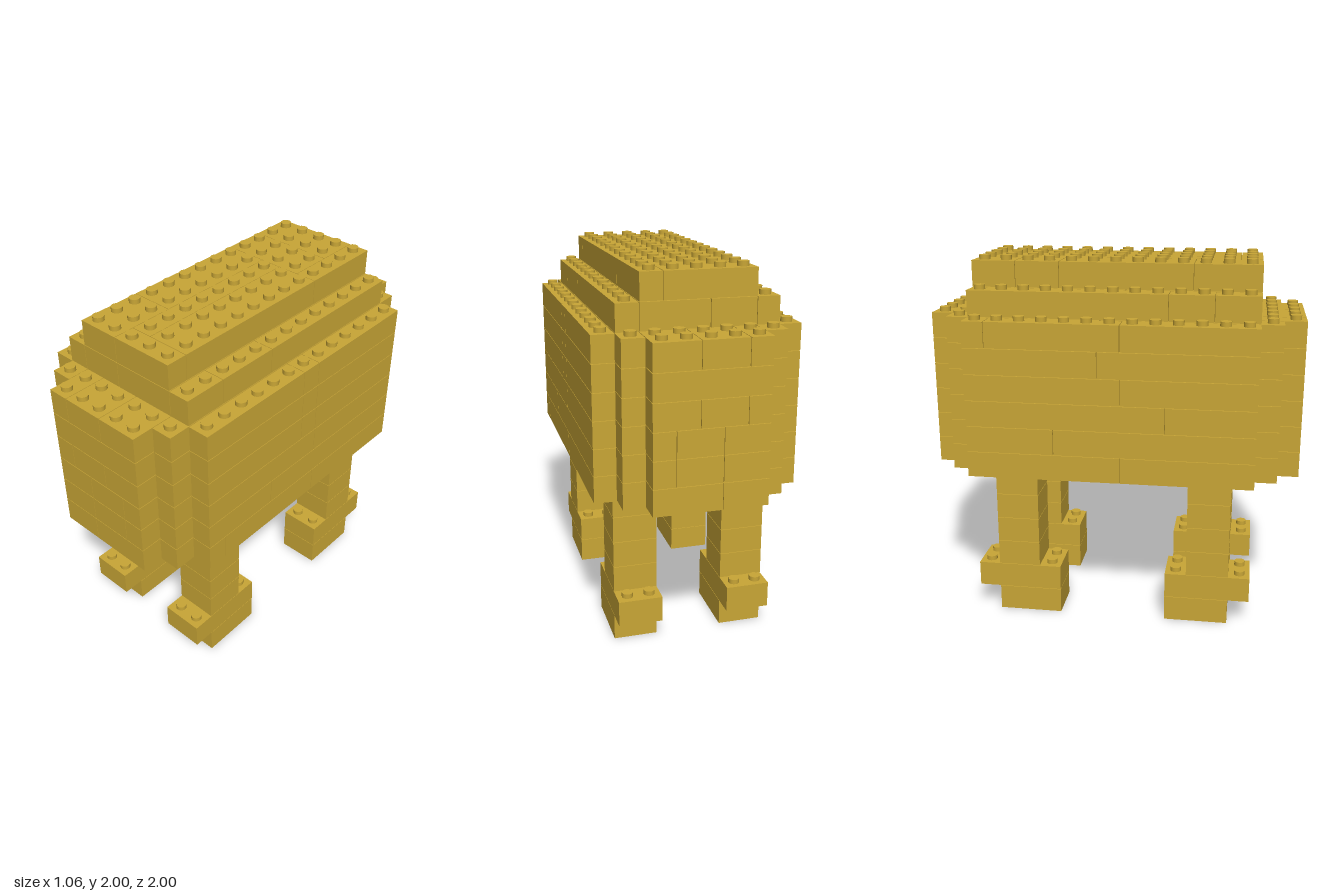
import * as THREE from 'three';
import { mergeGeometries } from 'three/addons/utils/BufferGeometryUtils.js';

const P = 2 / 17;        // stud pitch
const H = 1.2 * P;       // brick height
const GAP = 0.0015;      // inset that leaves a thin seam between bricks

export function createModel() {
  const model = new THREE.Group();
  model.name = 'brickBeast';
  const gold = new THREE.MeshStandardMaterial({ color: 0xc9a636 });
  gold.name = 'gold';

  // One brick; x and z ranges in studs, layer counted from the ground
  const brick = (layer, x0, x1, z0, z1) => {
    const g = new THREE.BoxGeometry((x1 - x0) * P - 2 * GAP, H - 2 * GAP, (z1 - z0) * P - 2 * GAP);
    return g.translate((x0 + x1) / 2 * P, (layer + 0.5) * H, (z0 + z1) / 2 * P);
  };
  // One stud on top of a layer
  const stud = (layer, x, z) =>
    new THREE.CylinderGeometry(0.25 * P, 0.25 * P, 0.2 * P + GAP, 16)
      .translate(x * P, (layer + 1) * H + 0.1 * P - GAP / 2, z * P);
  // A strip of bricks along z, cut at the given places
  const strip = (layer, x0, x1, z0, z1, cuts = []) => {
    const e = [z0, ...cuts, z1];
    return e.slice(1).map((z, i) => brick(layer, x0, x1, e[i], z));
  };
  const add = (parent, name, parts) => {
    const mesh = new THREE.Mesh(mergeGeometries(parts), gold);
    mesh.name = name;
    parent.add(mesh);
  };

  // Body: six layers, stepped at the corners
  const body = new THREE.Group();
  body.name = 'body';
  model.add(body);
  const layers = [
    { x: [-0.5], core: [-2.5, 3.5], left: [-0.5, 5.5], right: [0.5] },
    { x: [-0.5, 1.5], core: [0.5], left: [2.5], right: [-2.5] },
    { x: [-0.5, 1.5], core: [-3.5, 4.5], left: [-0.5], right: [2.5] },
    { x: [-1.5, 0.5], core: [-0.5], left: [-0.5, 0.5], right: [0.5] },
    { x: [], core: [-4.5, 1.5], left: [-0.5, 0.5], right: [-0.5] },
    { x: [-1.5, 0.5], core: [-1.5, 5.5], left: [-0.5, 0.5], right: [-5.5, 0.5] },
  ];
  layers.forEach((l, i) => {
    const n = 6 + i, parts = [], xs = [-2.5, ...l.x, 2.5];
    xs.slice(1).forEach((x, k) => parts.push(...strip(n, xs[k], x, -8.5, 8.5, l.core)));
    parts.push(...strip(n, 2.5, 3.5, -7.5, 7.5, [0.5]), ...strip(n, -3.5, -2.5, -7.5, 7.5, [-0.5]));
    parts.push(...strip(n, 3.5, 4.5, -6.5, 6.5, l.left), ...strip(n, -4.5, -3.5, -6.5, 6.5, l.right));
    add(body, 'bodyLayer' + (i + 1), parts);
  });

  // Two narrower tiers along the back
  add(model, 'lowerBackTier', [
    ...strip(12, -3.5, -2.5, -6.5, 6.5, [2.5, 4.5]),
    ...strip(12, -2.5, -0.5, -6.5, 6.5, [0.5]),
    ...strip(12, -0.5, 2.5, -6.5, 6.5, [-1.5]),
    ...strip(12, 2.5, 3.5, -6.5, 6.5, [1.5, 4.5]),
  ]);
  add(model, 'upperBackTier', [
    ...strip(13, -2.5, 1.5, -6.5, -2.5, [-4.5]),
    brick(13, 1.5, 2.5, -6.5, -2.5),
    ...strip(13, -2.5, -0.5, -2.5, 6.5, [3.5]),
    brick(13, -0.5, 0.5, -2.5, 5.5),
    brick(13, 0.5, 2.5, -2.5, 5.5),
    brick(13, -0.5, 2.5, 5.5, 6.5),
  ]);

  // Studs on every exposed ledge of the body and back
  const studs = [];
  for (let x = -4; x <= 4; x++) {
    const a = Math.abs(x);
    const end = a <= 2 ? 8 : a === 3 ? 7 : 6;
    for (let z = -end; z <= end; z++) {
      const onBack = a <= 3 && Math.abs(z) <= 6;
      studs.push(stud(!onBack ? 11 : a === 3 ? 12 : 13, x, z));
    }
  }
  add(model, 'backStuds', studs);

  // Four legs with stepped feet, toes pointing outwards
  for (const sx of [1, -1]) for (const sz of [1, -1]) {
    const leg = new THREE.Group();
    leg.name = (sz > 0 ? 'front' : 'rear') + (sx > 0 ? 'Left' : 'Right') + 'Leg';
    model.add(leg);
    const block = (n, a, b) => {
      const z = sz > 0 ? [a, b] : [-b, -a];
      return sx > 0 ? brick(n, 1.5, 3.5, ...z) : brick(n, -3.5, -1.5, ...z);
    };
    add(leg, 'foot', [block(0, 2.5, 5.5), block(1, 2.5, 6.5)]);
    add(leg, 'shin', [2, 3, 4, 5].map((n) => block(n, 3.5, 5.5)));
    const footStuds = [];
    for (const x of [2, 3]) for (const z of [3, 6]) footStuds.push(stud(1, sx * x, sz * z));
    add(leg, 'footStuds', footStuds);
  }
  return model;
}
